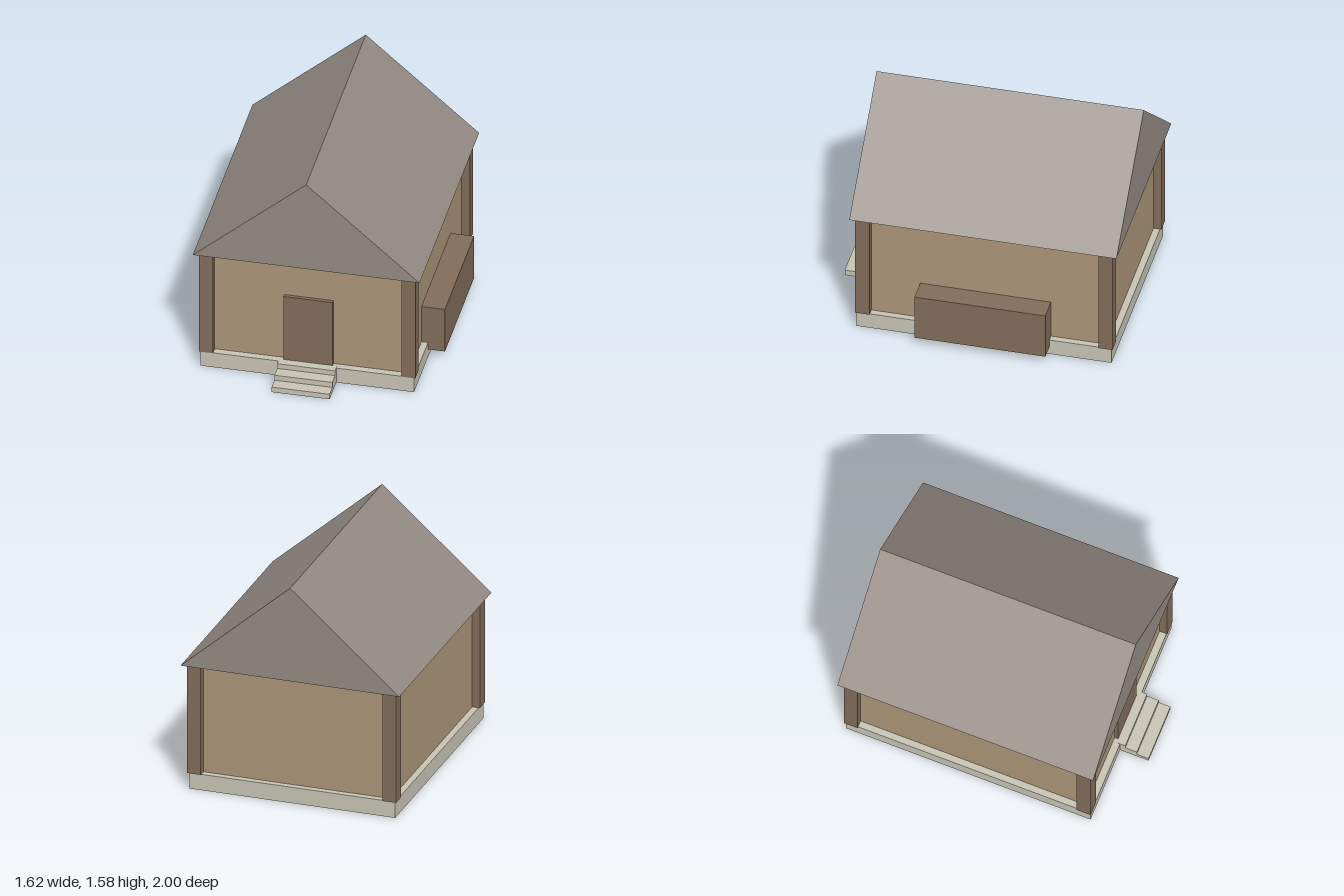
import * as THREE from 'three';

const material = (name, color) => {
  const m = new THREE.MeshStandardMaterial({ color });
  m.name = name;
  return m;
};

export function createModel() {
  const house = new THREE.Group();
  house.name = 'house';
  const stone = material('pale stone', 0xc6c2b3);
  const plaster = material('tan plaster', 0xaa9478);
  const wood = material('brown wood', 0x816c59);
  const slate = material('grey roof', 0x938a82);

  // Box given by its lower and upper limits on each axis
  const box = (name, mat, [x0, x1], [y0, y1], [z0, z1]) => {
    const mesh = new THREE.Mesh(new THREE.BoxGeometry(x1 - x0, y1 - y0, z1 - z0), mat);
    mesh.position.set((x0 + x1) / 2, (y0 + y1) / 2, (z0 + z1) / 2);
    mesh.name = name;
    house.add(mesh);
  };

  const base = 0.115, eaves = 0.905;
  box('foundation', stone, [-0.765, 0.69], [0, base], [-0.955, 0.795]);
  box('walls', plaster, [-0.72, 0.645], [base, eaves], [-0.91, 0.745]);

  // Corner posts
  for (const x of [[-0.775, -0.68], [0.605, 0.7]])
    for (const z of [[-0.965, -0.87], [0.7, 0.8]])
      box('cornerPost', wood, x, [base, eaves], z);

  box('door', wood, [-0.205, 0.13], [base, 0.62], [0.74, 0.77]);
  box('sideBin', wood, [0.64, 0.805], [0.06, 0.397], [-0.53, 0.365]);

  // Entrance steps, lowest one furthest out
  [[0, 0.04, 1], [0.04, 0.08, 0.916], [0.08, 0.118, 0.833]].forEach(([y0, y1, z]) =>
    box('step', stone, [-0.235, 0.16], [y0, y1], [0.78, z]));

  // Solid gable roof
  const gable = new THREE.Shape([
    new THREE.Vector2(-0.81, eaves),
    new THREE.Vector2(0.735, eaves),
    new THREE.Vector2(-0.0375, 1.58),
  ]);
  const roof = new THREE.Mesh(
    new THREE.ExtrudeGeometry(gable, { depth: 1.83, bevelEnabled: false }), slate);
  roof.position.z = -1;
  roof.name = 'roof';
  house.add(roof);

  return house;
}
